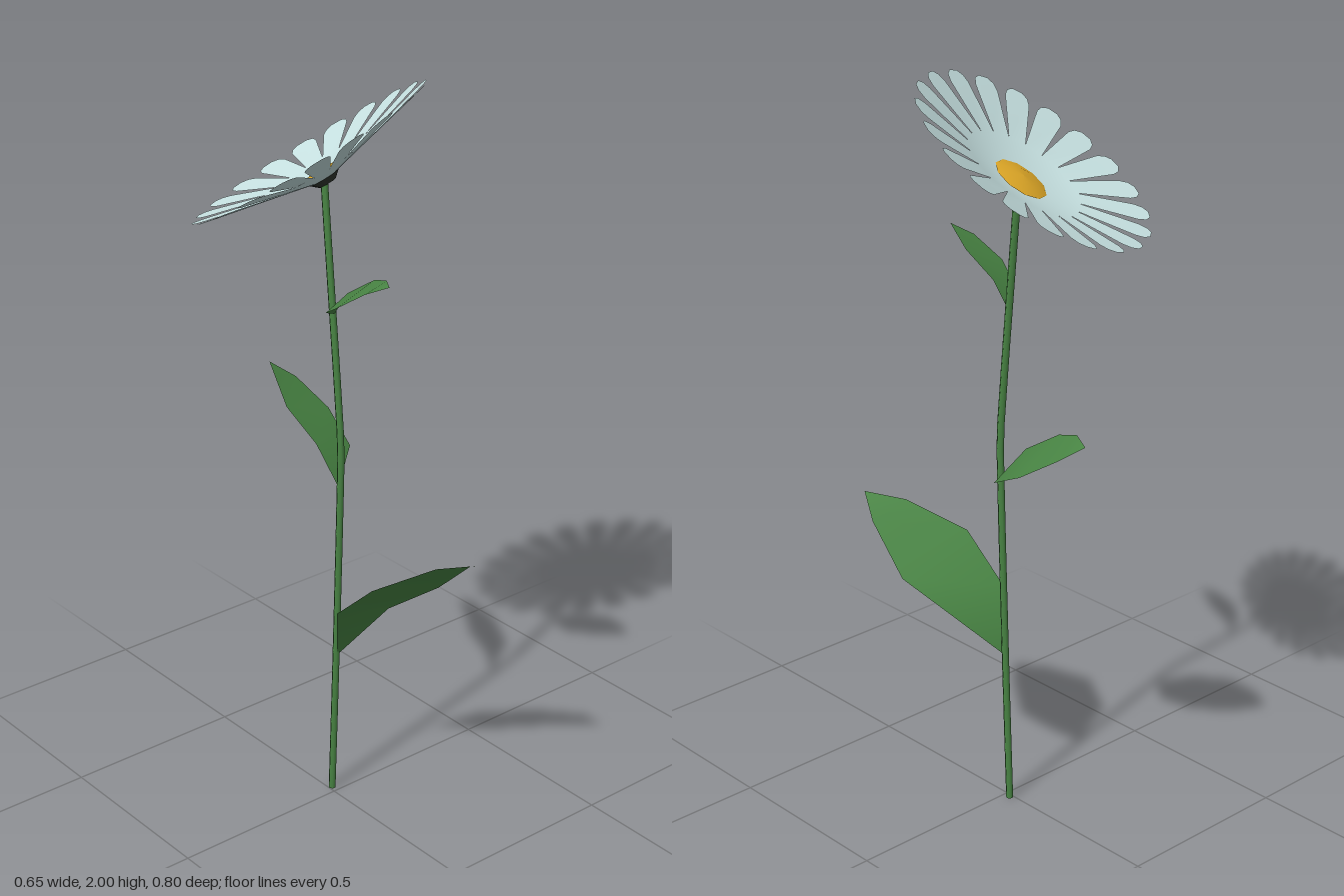
import * as THREE from 'three';

const mat = (name, color) =>
  new THREE.MeshStandardMaterial({ name, color, side: THREE.DoubleSide });

const green = mat('leaf green', 0x4a8745);
const white = mat('pale petal', 0xcae5e5);
const yellow = mat('golden centre', 0xe4ac28);
const dark = mat('dark calyx', 0x30362e);

function sheet(points, index) {
  const g = new THREE.BufferGeometry();
  g.setAttribute('position', new THREE.Float32BufferAttribute(points.flat(), 3));
  g.setIndex(index);
  g.computeVertexNormals();
  return g;
}

function add(parent, name, geometry, material) {
  const m = new THREE.Mesh(geometry, material);
  m.name = name;
  parent.add(m);
  return m;
}

// A leaf is a strip: base point, left/right pairs, tip
function leafGeometry(base, rows, tip) {
  const pts = [base, ...rows.flat(), tip];
  const index = [0, 2, 1];
  for (let i = 1; i < rows.length * 2 - 1; i += 2) {
    index.push(i, i + 1, i + 3, i, i + 3, i + 2);
  }
  const n = pts.length;
  index.push(n - 3, n - 2, n - 1);
  return sheet(pts, index);
}

// All petals share one shallow cone, notched between the tips
function petalsGeometry(count) {
  const slope = 0.082 / 0.338;
  const outline = [[0.303, -0.036], [0.325, -0.03], [0.338, -0.014],
    [0.338, 0.014], [0.325, 0.03], [0.303, 0.036]]; // distance out, offset sideways
  const pts = [[0, 0, 0]];
  const index = [];
  const put = (r, s, a) => pts.push([
    Math.sin(a) * r + Math.cos(a) * s,
    r * slope,
    -Math.cos(a) * r + Math.sin(a) * s,
  ]);
  const stride = outline.length + 1;
  for (let k = 0; k < count; k++) {
    const a = (k / count) * Math.PI * 2;
    put(0.157, 0, a - Math.PI / count); // notch
    outline.forEach(([r, s]) => put(r, s, a));
    const first = 1 + k * stride;
    const next = 1 + ((k + 1) % count) * stride;
    // Heart wedge, then a fan over the petal, both facing up
    index.push(0, next, first);
    for (let j = 1; j < stride - 1; j++) index.push(first, first + j + 1, first + j);
    index.push(first, next, first + stride - 1);
  }
  return sheet(pts, index);
}

export function createModel() {
  const flower = new THREE.Group();
  flower.name = 'flower';

  // Stem with one gentle bend
  const path = new THREE.CatmullRomCurve3([
    [0.01, 0, -0.021], [0.01, 0.43, -0.004], [0.01, 0.9, 0.012],
    [0.01, 1.05, 0.015], [0.01, 1.2, 0.003], [0.01, 1.42, -0.018], [0.014, 1.752, -0.055],
  ].map((p) => new THREE.Vector3(...p)));
  add(flower, 'stem', new THREE.TubeGeometry(path, 24, 0.01, 6), green);
  const foot = add(flower, 'stemEnd', new THREE.CircleGeometry(0.01, 6), green);
  foot.rotation.x = Math.PI / 2;
  foot.position.set(0.01, 0.001, -0.021);

  // Three leaves up the stem
  add(flower, 'lowerLeaf', leafGeometry([0.01, 0.43, 0], [
    [[-0.04, 0.6, 0.06], [0.13, 0.56, 0.07]],
    [[-0.03, 0.72, 0.19], [0.2, 0.65, 0.19]],
    [[0.075, 0.8, 0.316], [0.19, 0.77, 0.32]],
  ], [0.15, 0.82, 0.4]), green);
  add(flower, 'middleLeaf', leafGeometry([0.01, 0.935, 0.005], [
    [[-0.01, 1.04, -0.06], [0.12, 0.99, -0.08]],
    [[-0.02, 1.11, -0.17], [0.145, 1.05, -0.2]],
    [[0.025, 1.155, -0.28], [0.115, 1.115, -0.3]],
  ], [0.065, 1.155, -0.35]), green);
  add(flower, 'upperLeaf', leafGeometry([0.01, 1.415, -0.01], [
    [[-0.06, 1.45, 0.04], [0.02, 1.48, 0.03]],
    [[-0.085, 1.49, 0.11], [0.03, 1.54, 0.12]],
    [[-0.06, 1.545, 0.19], [0.0, 1.57, 0.2]],
  ], [-0.025, 1.57, 0.24]), green);

  // Flower head, tilted back and to one side
  const head = new THREE.Group();
  head.name = 'flowerHead';
  const up = new THREE.Vector3(-0.34, 1, -0.56).normalize();
  const side = new THREE.Vector3(1, 0, 0).addScaledVector(up, -up.x).normalize();
  const front = side.clone().cross(up);
  head.quaternion.setFromRotationMatrix(new THREE.Matrix4().makeBasis(side, up, front));
  head.position.set(0.025, 1.748, -0.062);
  flower.add(head);

  add(head, 'petals', petalsGeometry(20), white);

  // Low faceted dome in the middle
  const dome = [[0.074, 0.019], [0.04, 0.028], [0, 0.031]]
    .map(([r, y]) => new THREE.Vector2(r, y));
  add(head, 'centre', new THREE.LatheGeometry(dome, 10), yellow);

  // Small cup under the petals
  const cup = add(head, 'calyx', new THREE.CylinderGeometry(0.042, 0.024, 0.016, 8), dark);
  cup.position.y = 0.001;

  return flower;
}
